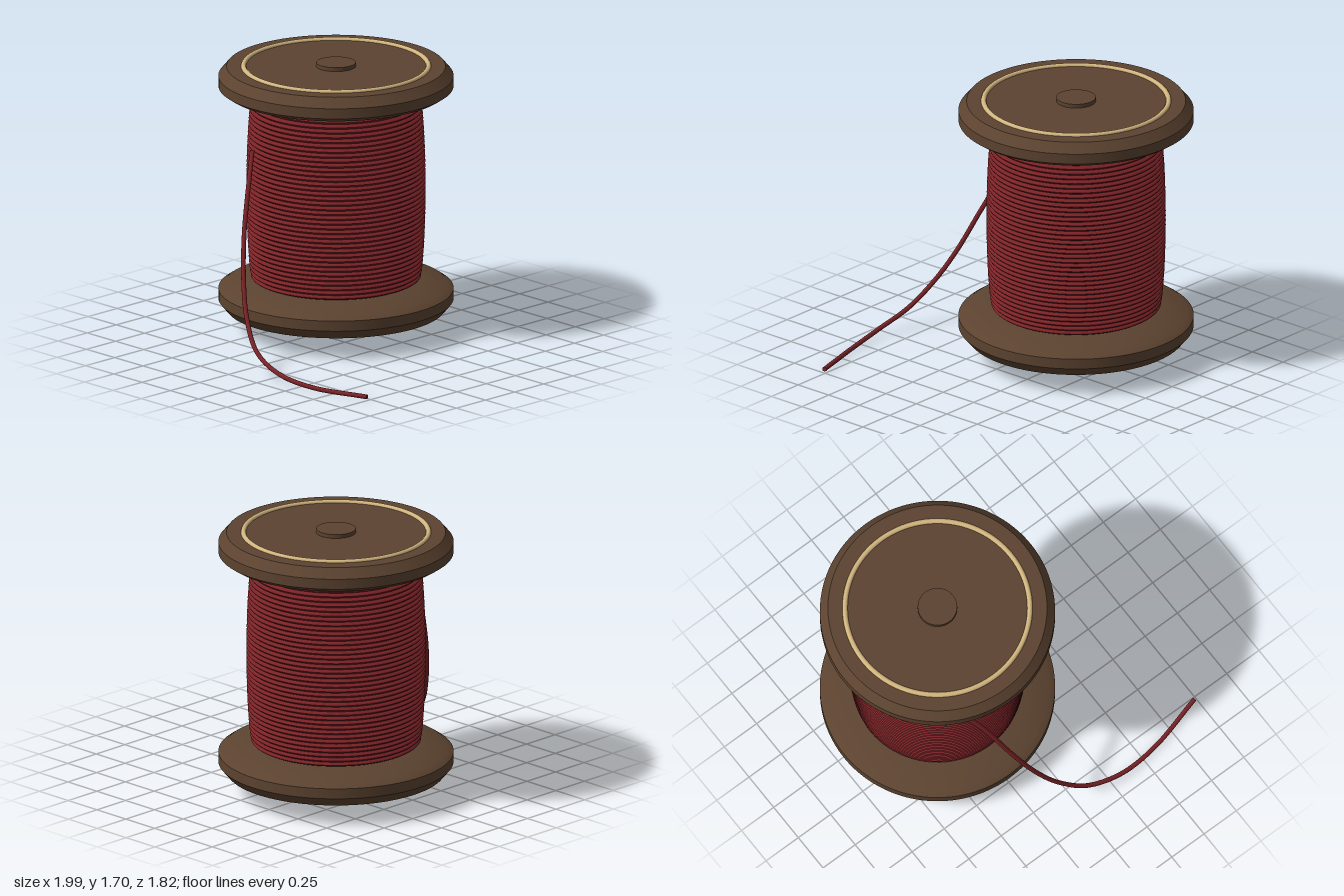
import * as THREE from 'three';
import { toCreasedNormals } from 'three/addons/utils/BufferGeometryUtils.js';

const AXIS_X = -0.275, AXIS_Z = -0.19;
const MID_Y = 0.91;

const wood = new THREE.MeshStandardMaterial({ color: 0x5c4330 });
const inlay = new THREE.MeshStandardMaterial({ color: 0xd2b57e });
const thread = new THREE.MeshStandardMaterial({ color: 0x7a2226 });

function addMesh(parent, name, geometry, material, y = 0) {
  const mesh = new THREE.Mesh(geometry, material);
  mesh.name = name;
  mesh.position.y = y;
  parent.add(mesh);
  return mesh;
}

function lathe(profile, segments = 96) {
  return new THREE.LatheGeometry(profile.map(([r, y]) => new THREE.Vector2(r, y)), segments);
}

export function createModel() {
  const model = new THREE.Group();
  model.name = 'threadSpool';
  const spool = new THREE.Group();
  spool.name = 'spool';
  spool.position.set(AXIS_X, 0, AXIS_Z);
  model.add(spool);

  // Flanges: one chamfered profile, mirrored about the middle height
  const lower = [[0, 0.135], [0.675, 0.135], [0.725, 0.195], [0.725, 0.26], [0.685, 0.287], [0.45, 0.328], [0, 0.328]];
  const upper = lower.map(([r, y]) => [r, 2 * MID_Y - y]).reverse();
  addMesh(spool, 'bottomFlange', toCreasedNormals(lathe(lower), 0.45), wood);
  addMesh(spool, 'topFlange', toCreasedNormals(lathe(upper), 0.45), wood);

  // Core rod that shows at both ends
  addMesh(spool, 'coreRod', new THREE.CylinderGeometry(0.122, 0.122, 1.605, 48), wood, 0.9075);

  // Inlaid ring on the top flange
  const ring = new THREE.TorusGeometry(0.57, 0.0165, 12, 96);
  ring.rotateX(Math.PI / 2);
  addMesh(spool, 'topRing', ring, inlay, 1.685);

  // Wound thread: stacked bulging turns, tapering in at the two ends
  const turns = 38, steps = 6, y0 = 0.328, y1 = 1.49;
  const wound = [[0.4, y0]];
  for (let i = 0; i <= turns * steps; i++) {
    const t = i / (turns * steps);
    const body = 0.497 + 0.037 * Math.pow(Math.sin(Math.PI * t), 0.5);
    const bulge = 0.019 * Math.abs(Math.sin((Math.PI * i) / steps));
    wound.push([body + bulge, y0 + (y1 - y0) * t]);
  }
  wound.push([0.4, y1]);
  addMesh(spool, 'woundThread', toCreasedNormals(lathe(wound, 80), 0.9), thread);

  // Loose end that hangs down and trails along the ground
  const path = new THREE.CatmullRomCurve3([
    [-0.465, 1.21, 0.345], [-0.39, 1.06, 0.445], [-0.285, 0.754, 0.59], [-0.18, 0.49, 0.695],
    [-0.07, 0.305, 0.775], [0.095, 0.144, 0.852], [0.33, 0.06, 0.892], [0.6, 0.025, 0.868], [0.985, 0.025, 0.768],
  ].map((p) => new THREE.Vector3(...p)));
  const loose = new THREE.Group();
  loose.name = 'looseThread';
  model.add(loose);
  const radius = 0.0145;
  addMesh(loose, 'looseStrand', new THREE.TubeGeometry(path, 80, radius, 10), thread);
  for (const t of [0, 1]) {
    const cap = addMesh(loose, 'strandEnd', new THREE.CircleGeometry(radius, 10), thread);
    const p = path.getPointAt(t);
    cap.position.copy(p);
    cap.lookAt(p.clone().addScaledVector(path.getTangentAt(t), t ? 1 : -1));
  }
  return model;
}
